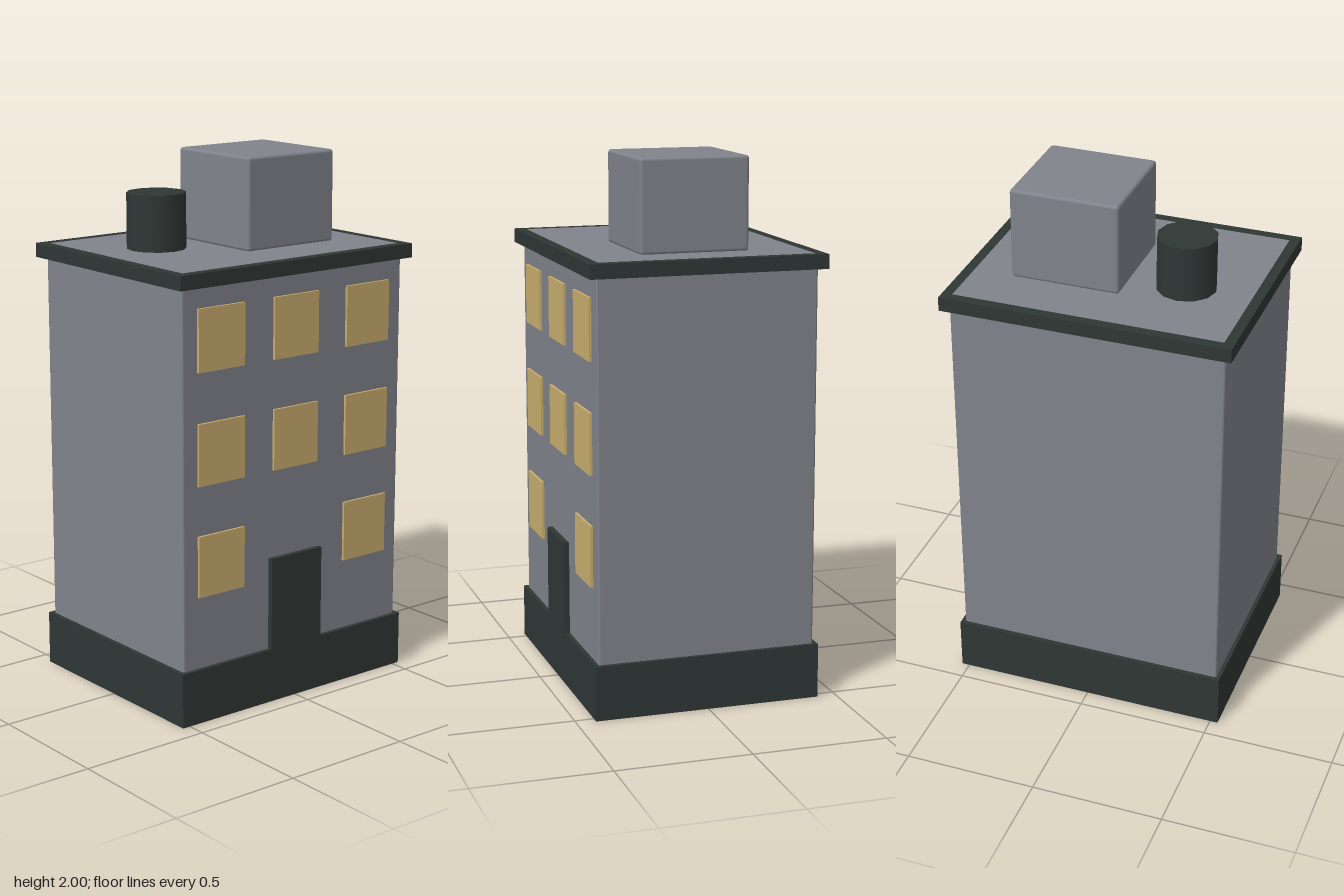
import * as THREE from 'three';
import { RoundedBoxGeometry } from 'three/addons/geometries/RoundedBoxGeometry.js';

export function createModel() {
  const model = new THREE.Group();
  model.name = 'apartmentBlock';

  const material = (name, color) => {
    const m = new THREE.MeshStandardMaterial({ color });
    m.name = name;
    return m;
  };
  const wallGrey = material('wallGrey', 0x80838b);
  const darkTrim = material('darkTrim', 0x2f3735);
  const windowAmber = material('windowAmber', 0xc9ad6d);

  const add = (name, geometry, mat, x, y, z) => {
    const mesh = new THREE.Mesh(geometry, mat);
    mesh.name = name;
    mesh.position.set(x, y, z);
    model.add(mesh);
    return mesh;
  };
  // Box given by its size, centre x and z, and bottom and top heights
  const box = (name, mat, w, d, y0, y1, x = 0, z = 0, radius = 0) => {
    const h = y1 - y0;
    const geometry = radius
      ? new RoundedBoxGeometry(w, h, d, 2, radius)
      : new THREE.BoxGeometry(w, h, d);
    return add(name, geometry, mat, x, (y0 + y1) / 2, z);
  };

  // Plinth and main block
  box('base', darkTrim, 1.06, 0.856, 0, 0.205);
  box('walls', wallGrey, 1.03, 0.824, 0.1, 1.64, 0, 0, 0.008);

  // Cornice: a rectangular frame around the roof deck
  const frame = new THREE.Shape([
    new THREE.Vector2(-0.543, -0.442), new THREE.Vector2(0.543, -0.442),
    new THREE.Vector2(0.543, 0.442), new THREE.Vector2(-0.543, 0.442),
  ]);
  frame.holes.push(new THREE.Path([
    new THREE.Vector2(-0.505, -0.403), new THREE.Vector2(-0.505, 0.403),
    new THREE.Vector2(0.505, 0.403), new THREE.Vector2(0.505, -0.403),
  ]));
  const frameGeometry = new THREE.ExtrudeGeometry(frame, { depth: 0.053, bevelEnabled: false });
  frameGeometry.rotateX(-Math.PI / 2);
  add('cornice', frameGeometry, darkTrim, 0, 1.605, 0);
  box('roofDeck', wallGrey, 1.01, 0.806, 1.63, 1.658);

  // Rooftop stair house and water tank
  box('stairHouse', wallGrey, 0.41, 0.41, 1.655, 2, 0.155, 0, 0.012);
  add('waterTank', new THREE.CylinderGeometry(0.11, 0.11, 0.21, 12), darkTrim, -0.26, 1.76, -0.07);

  // Door, its foot sunk into the plinth
  box('door', darkTrim, 0.24, 0.03, 0.19, 0.557, 0, 0.417);

  // Front windows; the door takes the middle place on the ground floor
  [0.59, 1.003, 1.415].forEach((y, floor) => {
    for (const x of [-0.345, 0, 0.345]) {
      if (floor === 0 && x === 0) continue;
      add('window', new THREE.BoxGeometry(0.208, 0.228, 0.0098), windowAmber, x, y, 0.4168);
    }
  });

  return model;
}
